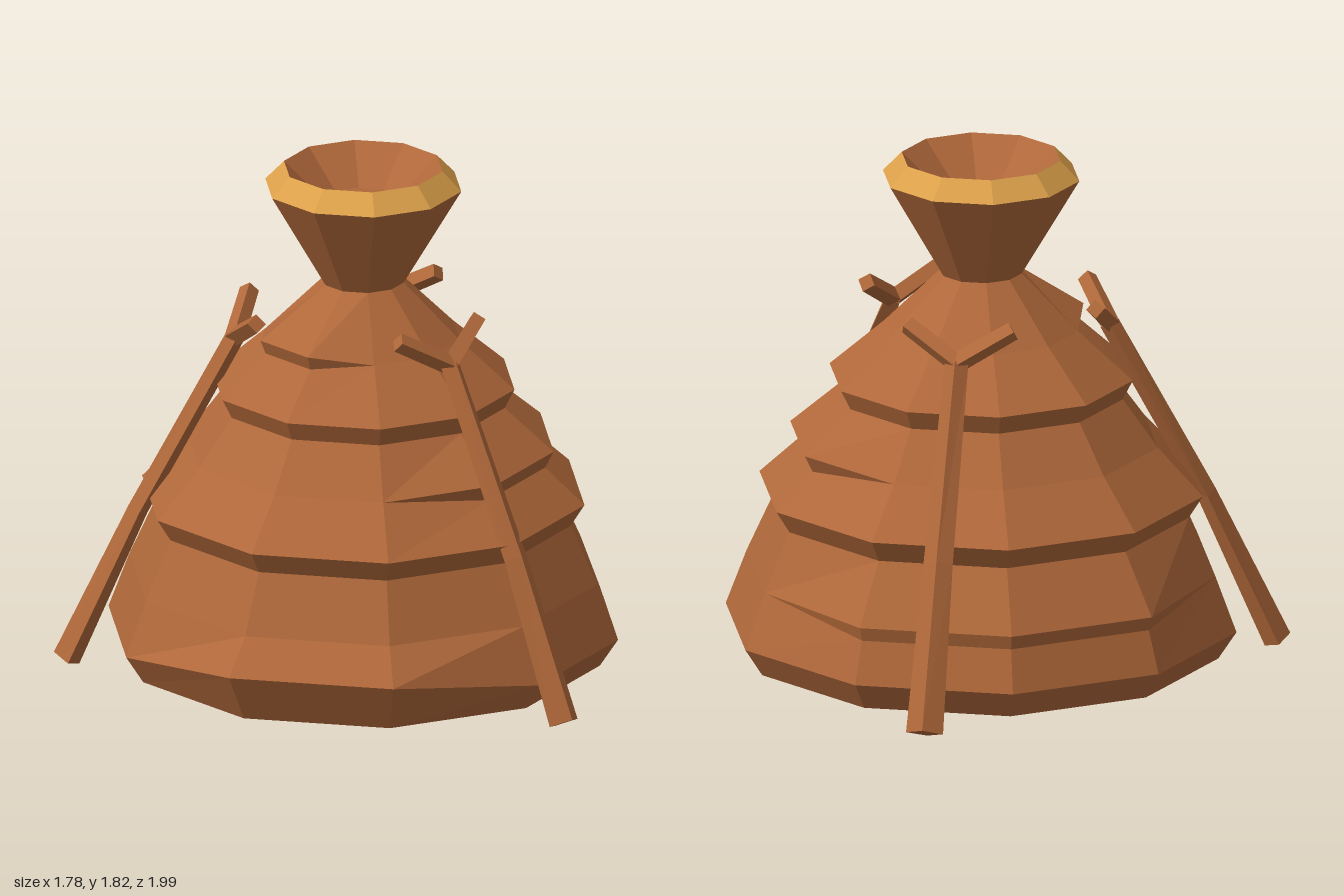
import * as THREE from 'three';

const SIDES = 10;
const CX = -0.008, CZ = -0.09;
const V = (x, y, z) => new THREE.Vector3(x, y, z);

// Point at a radius and angle (degrees from the front) around the stack's axis
function polar(r, deg, y) {
  const a = THREE.MathUtils.degToRad(deg);
  return V(CX + r * Math.sin(a), y, CZ + r * Math.cos(a));
}

// Faceted skin over rows of points, dropping collapsed triangles
function skin(rows, material, name) {
  const pos = [];
  const tri = (a, b, c) => {
    const area = b.clone().sub(a).cross(c.clone().sub(a)).length();
    if (area > 1e-7) for (const p of [a, b, c]) pos.push(p.x, p.y, p.z);
  };
  for (let i = 0; i + 1 < rows.length; i++) {
    const n = rows[i].length;
    for (let k = 0; k < n; k++) {
      const j = (k + 1) % n;
      tri(rows[i][k], rows[i][j], rows[i + 1][j]);
      tri(rows[i][k], rows[i + 1][j], rows[i + 1][k]);
    }
  }
  const g = new THREE.BufferGeometry();
  g.setAttribute('position', new THREE.Float32BufferAttribute(pos, 3));
  g.computeVertexNormals();
  const mesh = new THREE.Mesh(g, material);
  mesh.name = name;
  return mesh;
}

// Ten-sided ring [radius, y]; the listed corners use another [radius, y]
function ring([r, y], corners = [], other = [r, y]) {
  return Array.from({ length: SIDES }, (_, k) => {
    const [rr, yy] = corners.includes(k) ? other : [r, y];
    return polar(rr, (k * 360) / SIDES, yy);
  });
}

// Diamond-section beam through points; sizes are [half width, half depth]
function beam(points, sizes, out, material, name) {
  const d = points[points.length - 1].clone().sub(points[0]).normalize();
  const n = out.clone().addScaledVector(d, -out.dot(d)).normalize();
  const s = d.clone().cross(n);
  const rows = points.map((p, i) => {
    const [w, t] = sizes[i];
    return [[0, t], [w, 0], [0, -t], [-w, 0]].map(([a, b]) =>
      p.clone().addScaledVector(s, a).addScaledVector(n, b));
  });
  const cap = p => Array(4).fill(p);
  return skin([cap(points[0]), ...rows, cap(points[points.length - 1])], material, name);
}

export function createModel() {
  const model = new THREE.Group();
  model.name = 'thatchedStack';
  const brown = new THREE.MeshStandardMaterial({ color: 0xb0683a });
  brown.name = 'thatch brown';
  const gold = new THREE.MeshStandardMaterial({ color: 0xdca04a });
  gold.name = 'straw gold';

  // Layered body: full ledges alternate with ledges that fade out part way round
  model.add(skin([
    ring([0, 0.03]),
    ring([0.845, 0.03]),
    ring([0.91, 0.13], [8, 9], [0.95, 0.21]),
    ring([0.835, 0.33], [3, 4, 5], [0.86, 0.28]),
    ring([0.835, 0.33], [3, 4, 5], [0.875, 0.33]),
    ring([0.74, 0.54]),
    ring([0.79, 0.62]),
    ring([0.63, 0.79], [0, 1, 2], [0.65, 0.75]),
    ring([0.63, 0.79], [0, 1, 2], [0.68, 0.81]),
    ring([0.505, 0.96]),
    ring([0.54, 1.03]),
    ring([0.345, 1.2], [7, 8], [0.375, 1.18]),
    ring([0.345, 1.2], [7, 8], [0.395, 1.23]),
    ring([0.145, 1.4]),
  ], brown, 'body'));

  // Flared bundle on top, its bound rim and the hollow inside
  model.add(skin([ring([0.145, 1.4]), ring([0.35, 1.75])], brown, 'flaredTop'));
  model.add(skin([ring([0.35, 1.75]), ring([0.283, 1.82])], gold, 'rim'));
  model.add(skin([ring([0.283, 1.82]), ring([0.145, 1.69]), ring([0, 1.69])], brown, 'hollow'));

  // Three forked props leaning on the body
  [0, 126, -128.5].forEach((deg, i) => {
    const prop = new THREE.Group();
    prop.name = ['frontProp', 'backLeftProp', 'backRightProp'][i];
    const out = polar(1, deg, 0).sub(V(CX, 0, CZ));
    const crotch = polar(0.45, deg, 1.2);
    prop.add(beam(
      [polar(1.04, deg, 0.025), polar(0.79, deg, 0.57), crotch],
      [[0.066, 0.05], [0.052, 0.036], [0.042, 0.035]], out, brown, 'pole'));
    for (const side of [-1, 1]) {
      prop.add(beam([crotch, polar(0.43, deg + side * 26, 1.31)],
        [[0.036, 0.036], [0.034, 0.034]], out, brown, 'forkArm'));
    }
    model.add(prop);
  });

  return model;
}
